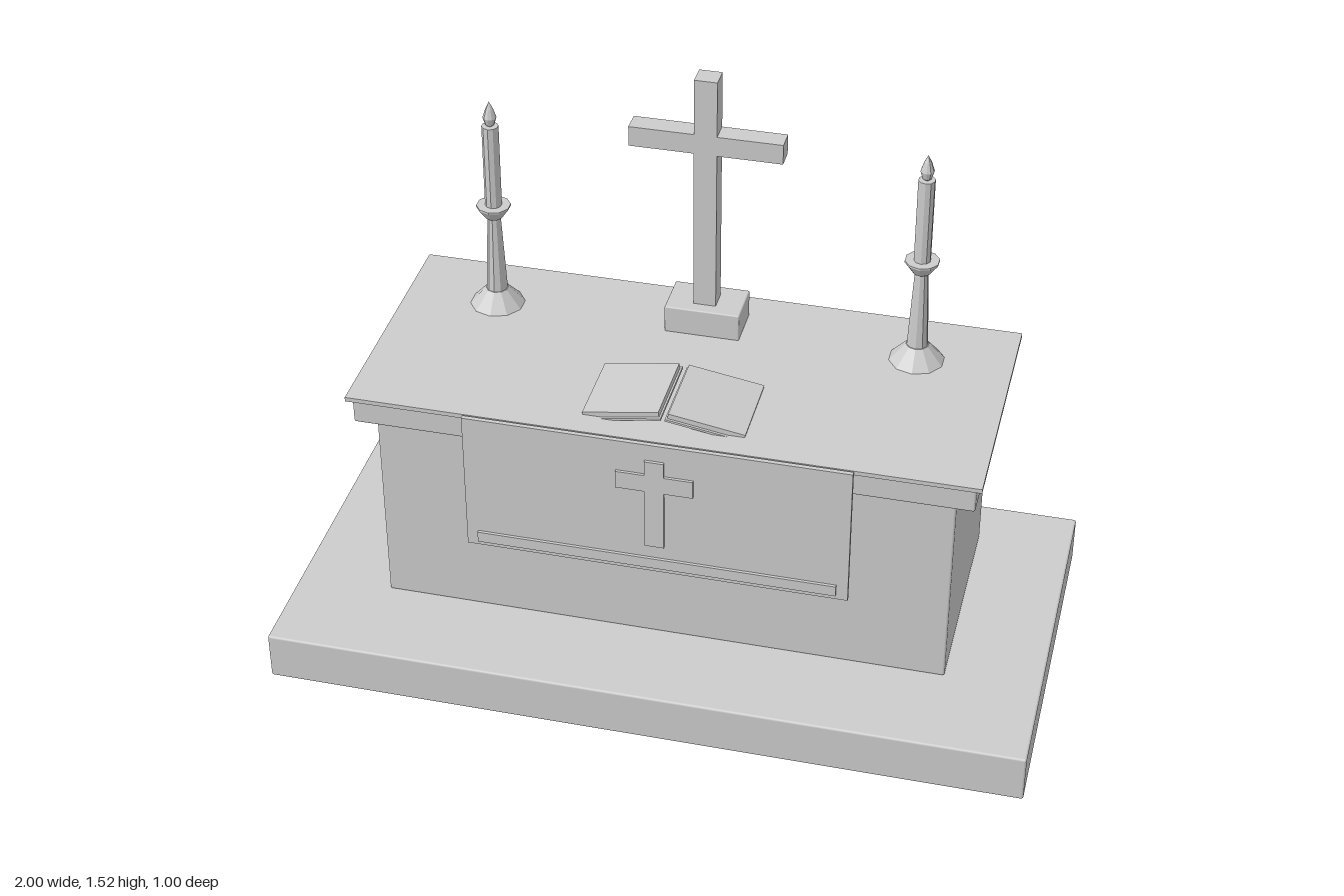
import * as THREE from 'three';
import { RoundedBoxGeometry } from 'three/addons/geometries/RoundedBoxGeometry.js';

export function createModel() {
  const root = new THREE.Group();
  root.name = 'altar';
  const stone = new THREE.MeshStandardMaterial({ color: 0xcccccc });
  stone.name = 'paleGrey';
  const facet = new THREE.MeshStandardMaterial({ color: 0xcccccc, flatShading: true });
  facet.name = 'paleGreyFaceted';

  function add(name, geometry, parent = root, material = stone) {
    const mesh = new THREE.Mesh(geometry, material);
    mesh.name = name;
    parent.add(mesh);
    return mesh;
  }
  // Box given by its limits; radius rounds the edges
  function box(name, [x0, x1], [y0, y1], [z0, z1], radius = 0, parent = root) {
    const size = [x1 - x0, y1 - y0, z1 - z0];
    const geo = radius ? new RoundedBoxGeometry(...size, 2, radius) : new THREE.BoxGeometry(...size);
    const mesh = add(name, geo, parent);
    mesh.position.set((x0 + x1) / 2, (y0 + y1) / 2, (z0 + z1) / 2);
    return mesh;
  }

  // Step, block and table top
  box('step', [-1, 1], [0, 0.133], [-0.5, 0.5], 0.006);
  box('body', [-0.75, 0.75], [0.133, 0.703], [-0.365, 0.235], 0.006);
  box('tableTop', [-0.8, 0.8], [0.7, 0.77], [-0.4, 0.268], 0.006);
  box('cloth', [-0.815, 0.815], [0.77, 0.782], [-0.415, 0.28]);

  // Hanging cloth with its border and cross
  box('frontal', [-0.5, 0.5], [0.388, 0.785], [0.288, 0.3]);
  box('frontalBorder', [-0.47, 0.47], [0.403, 0.433], [0.299, 0.308]);
  box('frontalCrossUpright', [-0.025, 0.025], [0.473, 0.738], [0.299, 0.308]);
  box('frontalCrossArm', [-0.1, 0.1], [0.645, 0.695], [0.299, 0.3075]);

  // Standing cross
  box('crossBase', [-0.1, 0.1], [0.78, 0.858], [-0.333, -0.205], 0.004);
  box('crossUpright', [-0.03, 0.03], [0.855, 1.52], [-0.295, -0.238]);
  box('crossArm', [-0.2, 0.2], [1.31, 1.365], [-0.2945, -0.2385]);

  // Open book: two tilted halves, each a page block on a cover
  for (const side of [-1, 1]) {
    const half = new THREE.Group();
    half.name = side < 0 ? 'bookRight' : 'bookLeft';
    half.position.set(side * 0.11, 0.795, 0.097);
    half.rotation.z = -side * 0.16;
    box('pages', [-0.1, 0.1], [-0.004, 0.01], [-0.111, 0.111], 0, half);
    box('cover', [-0.105, 0.105], [-0.01, -0.004], [-0.118, 0.118], 0, half);
    root.add(half);
  }

  // Candlesticks with candle and flame, as stacked ten-sided sections
  const lathe = (name, points, parent) =>
    add(name, new THREE.LatheGeometry(points.map(p => new THREE.Vector2(...p)), 10), parent, facet);
  for (const side of [-1, 1]) {
    const stick = new THREE.Group();
    stick.name = side < 0 ? 'candlestickRight' : 'candlestickLeft';
    stick.position.set(side * 0.565, 0, -0.235);
    lathe('foot', [[0, 0.782], [0.073, 0.782], [0.03, 0.83], [0, 0.83]], stick);
    lathe('stem', [[0.028, 0.83], [0.017, 1.055]], stick);
    lathe('dripPan', [[0, 1.05], [0.024, 1.05], [0.045, 1.08], [0.045, 1.085], [0, 1.085]], stick);
    lathe('candle', [[0.022, 1.085], [0.022, 1.32], [0, 1.32]], stick);
    lathe('flame', [[0, 1.315], [0.012, 1.325], [0.018, 1.345], [0.01, 1.37], [0, 1.39]], stick);
    root.add(stick);
  }
  return root;
}
